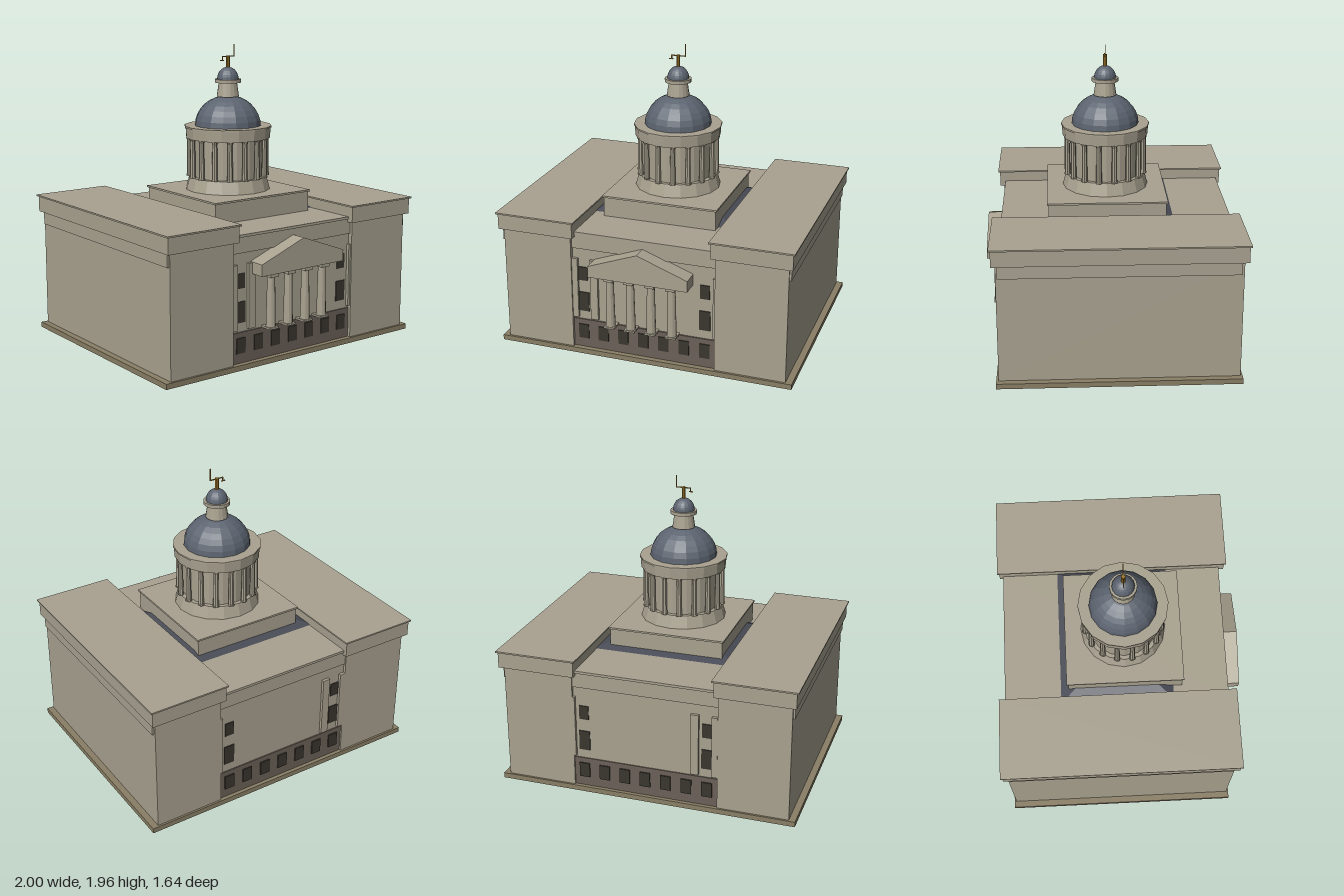
import * as THREE from 'three';

const mat = (color) => new THREE.MeshStandardMaterial({ color, flatShading: true });

export function createModel() {
  const model = new THREE.Group();
  const stone = mat(0xa9a290);
  const plinthStone = mat(0x8a7f66);
  const brown = mat(0x6b6158);
  const glass = mat(0x3a362f);
  const slate = mat(0x5c6470);
  const darkRoof = mat(0x484b55);
  const gold = mat(0xa07828);

  const add = (name, geo, material, x = 0, y = 0, z = 0, parent = model) => {
    const mesh = new THREE.Mesh(geo, material);
    mesh.name = name;
    mesh.position.set(x, y, z);
    parent.add(mesh);
    return mesh;
  };
  // Box given by its limits on each axis
  const box = (name, [x0, x1], [y0, y1], [z0, z1], material = stone, parent = model) =>
    add(name, new THREE.BoxGeometry(x1 - x0, y1 - y0, z1 - z0), material,
      (x0 + x1) / 2, (y0 + y1) / 2, (z0 + z1) / 2, parent);
  // Upright frustum from y0 to y1
  const drum = (name, rBottom, rTop, y0, y1, material = stone, sides = 16, x = 0, z = 0, parent = model) =>
    add(name, new THREE.CylinderGeometry(rTop, rBottom, y1 - y0, sides), material, x, (y0 + y1) / 2, z, parent);

  // Ground slab
  box('plinth', [-1, 1], [0, 0.035], [-0.8, 0.75], plinthStone);

  // Side wings with stepped cornices
  for (const s of [-1, 1]) {
    const wing = new THREE.Group();
    wing.name = s > 0 ? 'leftWing' : 'rightWing';
    model.add(wing);
    const span = (a, b) => (s > 0 ? [a, b] : [-b, -a]);
    box('wingBody', span(0.487, 0.957), [0.035, 0.83], [-0.787, 0.735], stone, wing);
    box('wingFrieze', span(0.487, 0.97), [0.735, 0.82], [-0.772, 0.725], stone, wing);
    box('wingCornice', span(0.465, 0.985), [0.82, 0.925], [-0.812, 0.76], stone, wing);
    box('wingRoof', span(0.453, 0.997), [0.925, 0.935], [-0.823, 0.772], stone, wing);
  }

  // Central block
  box('centreBasement', [-0.49, 0.49], [0.035, 0.235], [-0.775, 0.715], brown);
  box('centreWall', [-0.49, 0.49], [0.235, 0.74], [-0.768, 0.705]);
  box('centreFrieze', [-0.49, 0.49], [0.74, 0.84], [-0.778, 0.716]);
  box('centreRoof', [-0.49, 0.49], [0.84, 0.857], [-0.787, 0.723]);

  // Windows and pilasters on the front and back
  for (const front of [true, false]) {
    const face = new THREE.Group();
    face.name = front ? 'frontDetails' : 'backDetails';
    model.add(face);
    const depth = (wall, out) => (front ? [wall - 0.02, wall + out] : [-wall - 0.063 - out, -wall - 0.043]);
    for (let i = -3; i <= 3; i++) {
      const x = i * 0.139;
      box('basementWindow', [x - 0.035, x + 0.035], [0.1, 0.2], depth(0.715, 0.006), glass, face);
    }
    for (const x of [-0.415, 0.415]) {
      box('middleWindow', [x - 0.037, x + 0.037], [0.295, 0.43], depth(0.705, 0.006), glass, face);
      box('upperWindow', [x - 0.032, x + 0.032], [0.515, 0.61], depth(0.705, 0.006), glass, face);
    }
    for (const [a, b] of [[-0.487, -0.448], [-0.362, -0.31], [0.472, 0.487]])
      box('pilaster', [a, b], [0.25, 0.67], depth(0.705, 0.02), stone, face);
  }

  // Portico columns
  for (const x of [-0.21, -0.07, 0.07, 0.21]) {
    const column = new THREE.Group();
    column.name = 'porticoColumn';
    model.add(column);
    box('columnBase', [x - 0.036, x + 0.036], [0.235, 0.247], [0.705, 0.79], stone, column);
    drum('columnShaft', 0.032, 0.025, 0.247, 0.572, stone, 12, x, 0.755, column);
    box('columnCapital', [x - 0.032, x + 0.032], [0.572, 0.6], [0.715, 0.793], stone, column);
  }

  // Pediment with entablature in one gabled outline
  const gable = new THREE.Shape([[-0.335, 0.6], [0.335, 0.6], [0.335, 0.675], [0, 0.8], [-0.335, 0.675]]
    .map(([x, y]) => new THREE.Vector2(x, y)));
  add('pediment', new THREE.ExtrudeGeometry(gable, { depth: 0.12, bevelEnabled: false }), stone, 0, 0, 0.7);

  // Dark hipped roof around the tower base
  const hip = new THREE.BoxGeometry(0.97, 0.08, 0.772);
  const p = hip.attributes.position;
  for (let i = 0; i < p.count; i++)
    if (p.getY(i) > 0) p.setXYZ(i, p.getX(i) * 0.55, p.getY(i), p.getZ(i) * 0.4);
  add('hippedRoof', hip, darkRoof, 0, 0.895, -0.028);

  // Tower pedestal
  box('towerPedestal', [-0.385, 0.385], [0.857, 0.99], [-0.355, 0.41]);
  box('towerPedestalCap', [-0.394, 0.394], [0.988, 1], [-0.365, 0.419]);

  // Round tower
  const tower = new THREE.Group();
  tower.name = 'tower';
  tower.position.z = 0.028;
  model.add(tower);
  const ring = (name, rb, rt, y0, y1, material = stone, sides = 16) =>
    drum(name, rb, rt, y0, y1, material, sides, 0, 0, tower);
  ring('towerSkirt', 0.285, 0.262, 1, 1.085);
  ring('towerWall', 0.235, 0.235, 1.085, 1.35);
  for (let i = 0; i < 16; i++) {
    const a = ((i + 0.5) / 16) * Math.PI * 2;
    const x = Math.sin(a) * 0.258, z = Math.cos(a) * 0.258;
    drum('towerColumnBase', 0.022, 0.022, 1.085, 1.095, stone, 8, x, z, tower);
    drum('towerColumn', 0.019, 0.016, 1.095, 1.33, stone, 8, x, z, tower);
    drum('towerColumnCapital', 0.017, 0.023, 1.33, 1.346, stone, 8, x, z, tower);
  }
  ring('towerEntablature', 0.283, 0.288, 1.345, 1.42);
  ring('towerCornice', 0.293, 0.293, 1.415, 1.426);

  // Domes and lantern
  const dome = (name, r, h, y) => {
    const geo = new THREE.SphereGeometry(r, 16, 8, 0, Math.PI * 2, 0, Math.PI / 2);
    geo.scale(1, h / r, 1);
    add(name, geo, slate, 0, y, 0, tower);
  };
  dome('mainDome', 0.222, 0.2, 1.424);
  ring('lantern', 0.075, 0.061, 1.618, 1.712);
  ring('lanternCornice', 0.088, 0.088, 1.71, 1.733);
  dome('lanternDome', 0.072, 0.08, 1.733);

  // Weather vane
  ring('finial', 0.013, 0.013, 1.8, 1.887, gold, 8);
  const rod = (name, xs, ys) => box(name, xs, ys, [-0.003, 0.003], gold, tower);
  rod('vaneArm', [-0.048, 0.053], [1.879, 1.885]);
  rod('vaneMast', [0.047, 0.053], [1.879, 1.962]);
  rod('vaneDrop', [-0.048, -0.042], [1.855, 1.885]);
  rod('vaneTip', [-0.063, -0.035], [1.855, 1.861]);

  return model;
}
